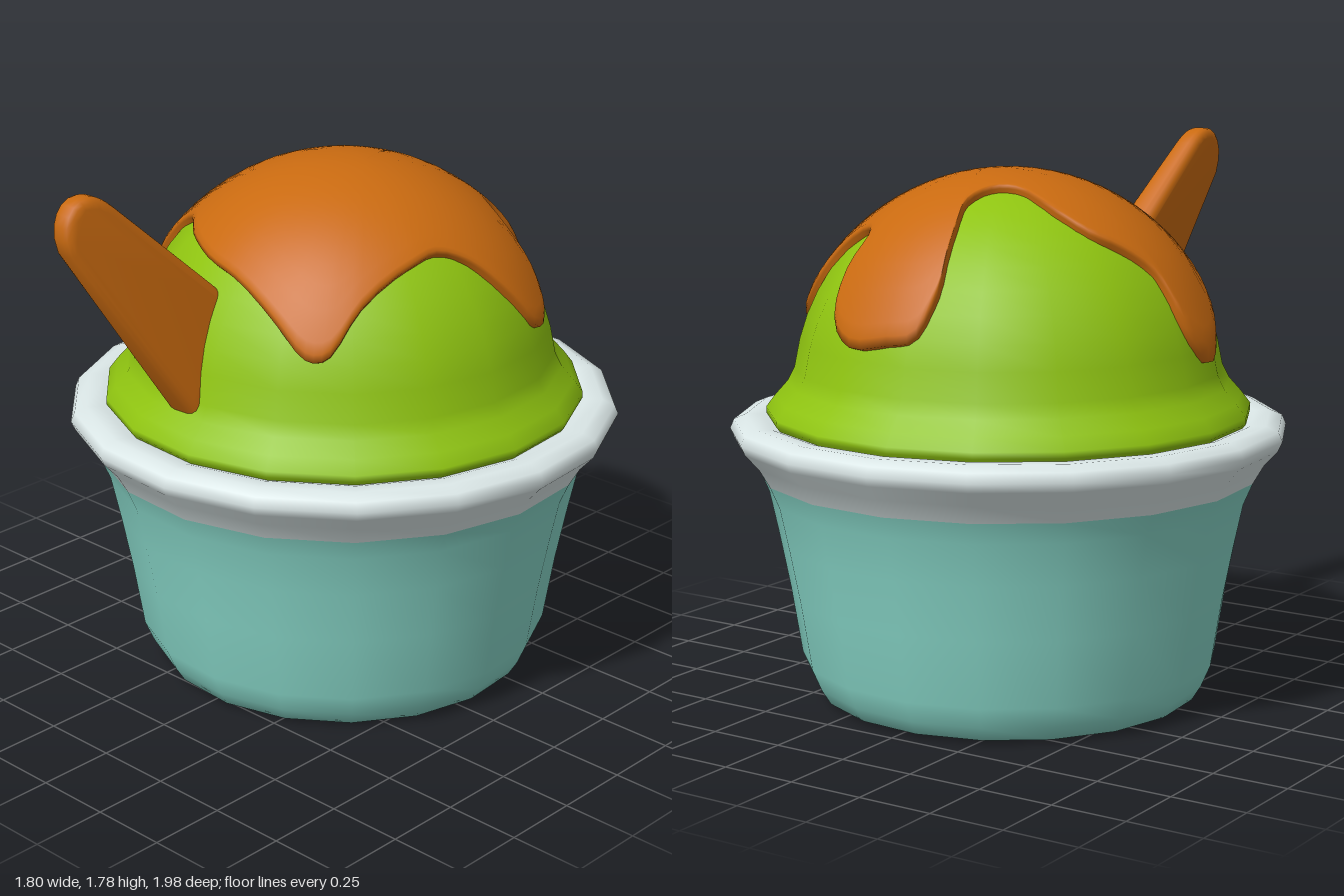
import * as THREE from 'three';
import { toCreasedNormals } from 'three/addons/utils/BufferGeometryUtils.js';

const CENTRE_Z = -0.09; // axis of the cup
const DOME_Y = 1.0; // centre height of the scoop sphere
const SIDES = 18;

function material(name, color, side = THREE.FrontSide) {
  const m = new THREE.MeshStandardMaterial({ color, side });
  m.name = name;
  return m;
}

function part(name, geometry, mat) {
  const mesh = new THREE.Mesh(geometry, mat);
  mesh.name = name;
  return mesh;
}

// Round part from [radius, height] pairs, bottom to top
function lathe(name, profile, mat) {
  const geometry = new THREE.LatheGeometry(profile.map(([r, y]) => new THREE.Vector2(r, y)), SIDES);
  geometry.rotateY(0.1);
  const mesh = part(name, geometry, mat);
  mesh.position.z = CENTRE_Z;
  return mesh;
}

// Dripping sauce: a closed outline seen from above, lifted onto the dome
function sauceGeometry() {
  const outline = [
    [-0.13, -0.68], [-0.1, -0.75], [0, -0.77], [0.15, -0.76], [0.25, -0.7], [0.27, -0.62],
    [0.25, -0.53], [0.29, -0.46], [0.42, -0.43], [0.52, -0.44], [0.6, -0.4], [0.64, -0.3],
    [0.6, -0.2], [0.53, -0.1], [0.48, 0], [0.47, 0.1], [0.44, 0.3], [0.42, 0.42],
    [0.36, 0.47], [0.25, 0.48], [0.05, 0.46], [-0.1, 0.43], [-0.25, 0.35], [-0.35, 0.26],
    [-0.45, 0.23], [-0.57, 0.21], [-0.66, 0.12], [-0.7, 0], [-0.67, -0.1], [-0.58, -0.13],
    [-0.5, -0.2], [-0.42, -0.27], [-0.3, -0.29], [-0.15, -0.27], [-0.08, -0.31], [-0.05, -0.4],
    [-0.08, -0.5], [-0.11, -0.6],
  ].map(([x, z]) => new THREE.Vector3(x, 0, z));
  const n = 114;
  const edge = new THREE.CatmullRomCurve3(outline, true).getPoints(n).slice(0, n);
  const middle = new THREE.Vector3(0.08, 0, -0.1);
  const positions = [];
  const add = (p, radius) => {
    const x = p.x, z = p.z - CENTRE_Z;
    const y = Math.sqrt(Math.max(0.0004, 0.72 ** 2 - x * x - z * z));
    const v = new THREE.Vector3(x, y, z).setLength(radius);
    positions.push(v.x, v.y + DOME_Y, v.z + CENTRE_Z);
  };
  // Each ring: fraction towards the edge, sphere radius
  const rings = [];
  for (let j = 1; j <= 12; j++) rings.push([j * 0.08, 0.72]);
  rings.push([0.985, 0.717], [1, 0.708], [1, 0.67]);
  add(middle, 0.72);
  for (const [s, radius] of rings) {
    for (const p of edge) add(middle.clone().lerp(p, s), radius);
  }
  const index = [];
  for (let i = 0; i < n; i++) {
    const k = (i + 1) % n;
    index.push(0, 1 + k, 1 + i);
    for (let j = 0; j < rings.length - 1; j++) {
      const a = 1 + j * n, c = a + n;
      index.push(a + i, c + k, c + i, a + i, a + k, c + k);
    }
  }
  const geometry = new THREE.BufferGeometry();
  geometry.setAttribute('position', new THREE.Float32BufferAttribute(positions, 3));
  geometry.setIndex(index);
  geometry.computeVertexNormals();
  return geometry;
}

// Flat wafer with softened edges, thicker and shifted towards its lower end
function waferGeometry() {
  const shape = new THREE.Shape();
  shape.moveTo(0.38, 1.33);
  shape.lineTo(0.56, 0.96);
  shape.lineTo(0.64, 1.08);
  shape.lineTo(0.985, 1.62);
  shape.bezierCurveTo(1.02, 1.72, 0.96, 1.79, 0.9, 1.785);
  shape.quadraticCurveTo(0.86, 1.785, 0.81, 1.74);
  shape.lineTo(0.48, 1.43);
  shape.closePath();
  const geometry = new THREE.ExtrudeGeometry(shape, {
    depth: 0.04, curveSegments: 6,
    bevelThickness: 0.03, bevelSize: 0.03, bevelOffset: -0.03, bevelSegments: 3,
  });
  geometry.translate(0, 0, -0.02);
  geometry.rotateY(-Math.PI / 2);
  const p = geometry.attributes.position;
  for (let i = 0; i < p.count; i++) {
    const s = (0.95 - p.getZ(i)) * 0.55 + (1.75 - p.getY(i)) * 0.83; // distance down from the tip
    p.setX(i, p.getX(i) * (0.8 + 0.8 * s) - 0.135 + 0.13 * s);
  }
  return toCreasedNormals(geometry, 0.9);
}

export function createModel() {
  const mint = material('mint cup', 0x86d4c6);
  const white = material('white rim', 0xdce8e8, THREE.DoubleSide);
  const green = material('green ice cream', 0x8fc410);
  const caramel = material('caramel', 0xc96a10);

  const model = new THREE.Group();
  model.name = 'iceCreamCup';

  model.add(lathe('cup', [
    [0, 0], [0.4, 0.003], [0.62, 0.012], [0.65, 0.06], [0.68, 0.13], [0.715, 0.35], [0.75, 0.53],
    [0.78, 0.67], [0.81, 0.74],
  ], mint));

  model.add(lathe('rim', [
    [0.81, 0.74], [0.845, 0.8], [0.89, 0.85], [0.903, 0.88], [0.89, 0.91], [0.85, 0.927],
    [0.8, 0.925], [0.74, 0.905],
  ], white));

  // Scoop: flared skirt below a spherical dome
  const scoop = [[0.76, 0.9], [0.785, 0.93], [0.785, 0.95], [0.755, 0.99], [0.715, 1.035], [0.692, 1.08]];
  for (let i = 1; i <= 12; i++) {
    const a = THREE.MathUtils.lerp(0.13, Math.PI / 2, i / 12);
    scoop.push([Math.max(0, 0.695 * Math.cos(a)), DOME_Y + 0.695 * Math.sin(a)]);
  }
  model.add(lathe('scoop', scoop, green));

  model.add(part('sauce', sauceGeometry(), caramel));
  model.add(part('wafer', waferGeometry(), caramel));
  return model;
}
